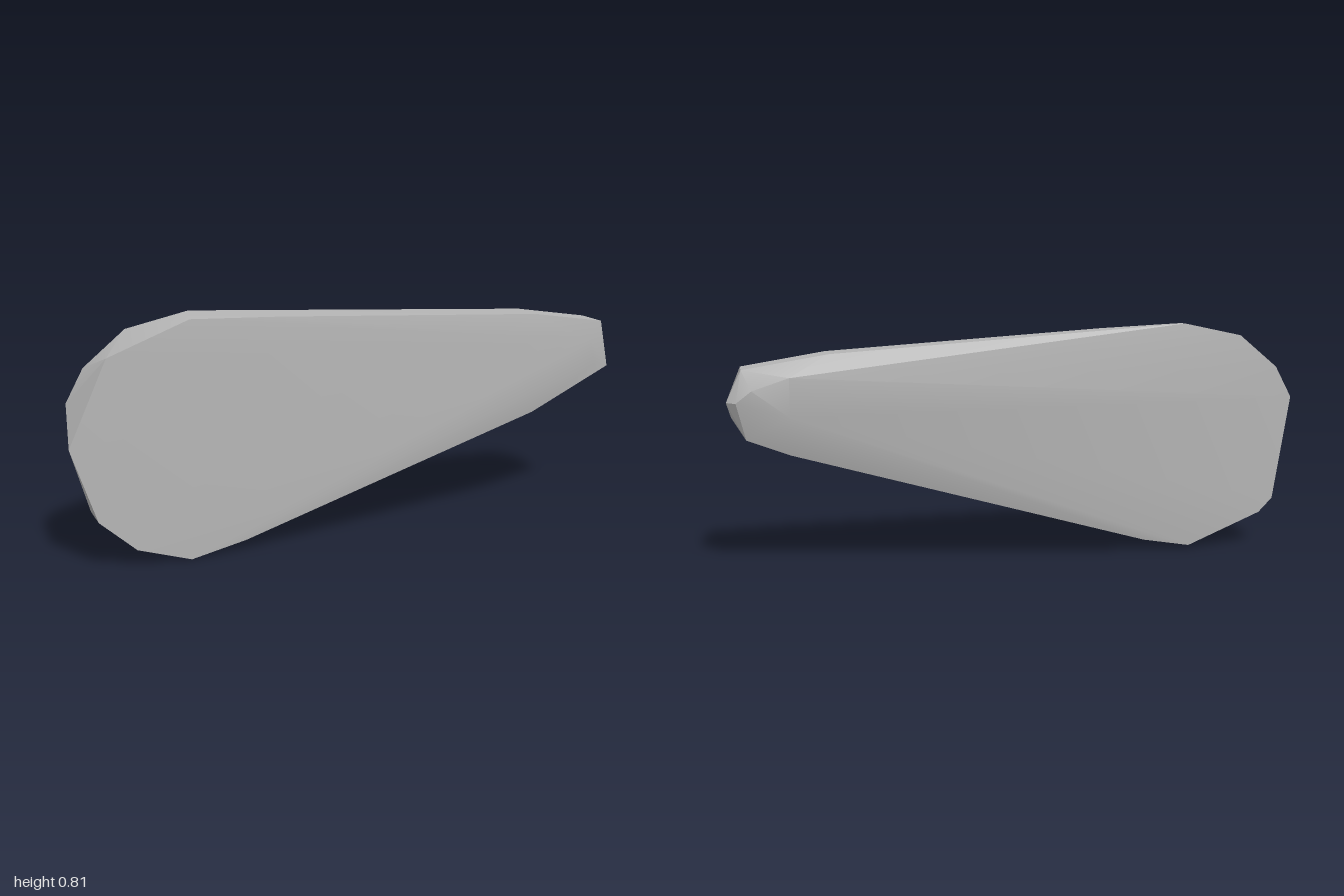
import * as THREE from 'three';
import { ConvexGeometry } from 'three/addons/geometries/ConvexGeometry.js';
import { toCreasedNormals } from 'three/addons/utils/BufferGeometryUtils.js';

export function createModel() {
  const group = new THREE.Group();
  group.name = 'taperedStone';
  const grey = new THREE.MeshStandardMaterial({ color: 0xb4b4b4 });
  grey.name = 'stone grey';

  // Rim of the front face, clockwise from the wide end
  const frontRim = [
    [-1, 0.42], [-0.87, 0.7], [-0.6, 0.803], [-0.3, 0.79], [0.67, 0.73], [0.95, 0.685],
    [0.985, 0.515], [0.67, 0.37], [-0.43, 0.04], [-0.62, 0.0], [-0.8, 0.06], [-0.92, 0.17],
  ];
  // Rim of the back face, shifted slightly round the wide end
  const backRim = [
    [-0.98, 0.54], [-0.92, 0.65], [-0.78, 0.765], [-0.57, 0.81], [0.67, 0.73], [0.95, 0.685],
    [1, 0.58], [0.94, 0.455], [0.8, 0.4], [-0.43, 0.042], [-0.6, 0.012], [-0.87, 0.12], [-0.92, 0.17],
  ];
  // Swellings near the narrow end, on both faces
  const swelling = [
    [0.9, 0.62, 0.088], [0.92, 0.53, 0.087],
    [0.8, 0.66, -0.09], [0.8, 0.53, -0.09], [0.92, 0.62, -0.086], [0.97, 0.58, -0.077],
  ];

  const points = [
    ...frontRim.map(([x, y]) => new THREE.Vector3(x, y, 0.075)),
    ...backRim.map(([x, y]) => new THREE.Vector3(x, y, -0.045)),
    ...swelling.map((p) => new THREE.Vector3(...p)),
  ];

  // One convex body, soft across shallow edges and sharp at the rims
  const geometry = toCreasedNormals(new ConvexGeometry(points), THREE.MathUtils.degToRad(30));
  const body = new THREE.Mesh(geometry, grey);
  body.name = 'body';
  group.add(body);
  return group;
}
